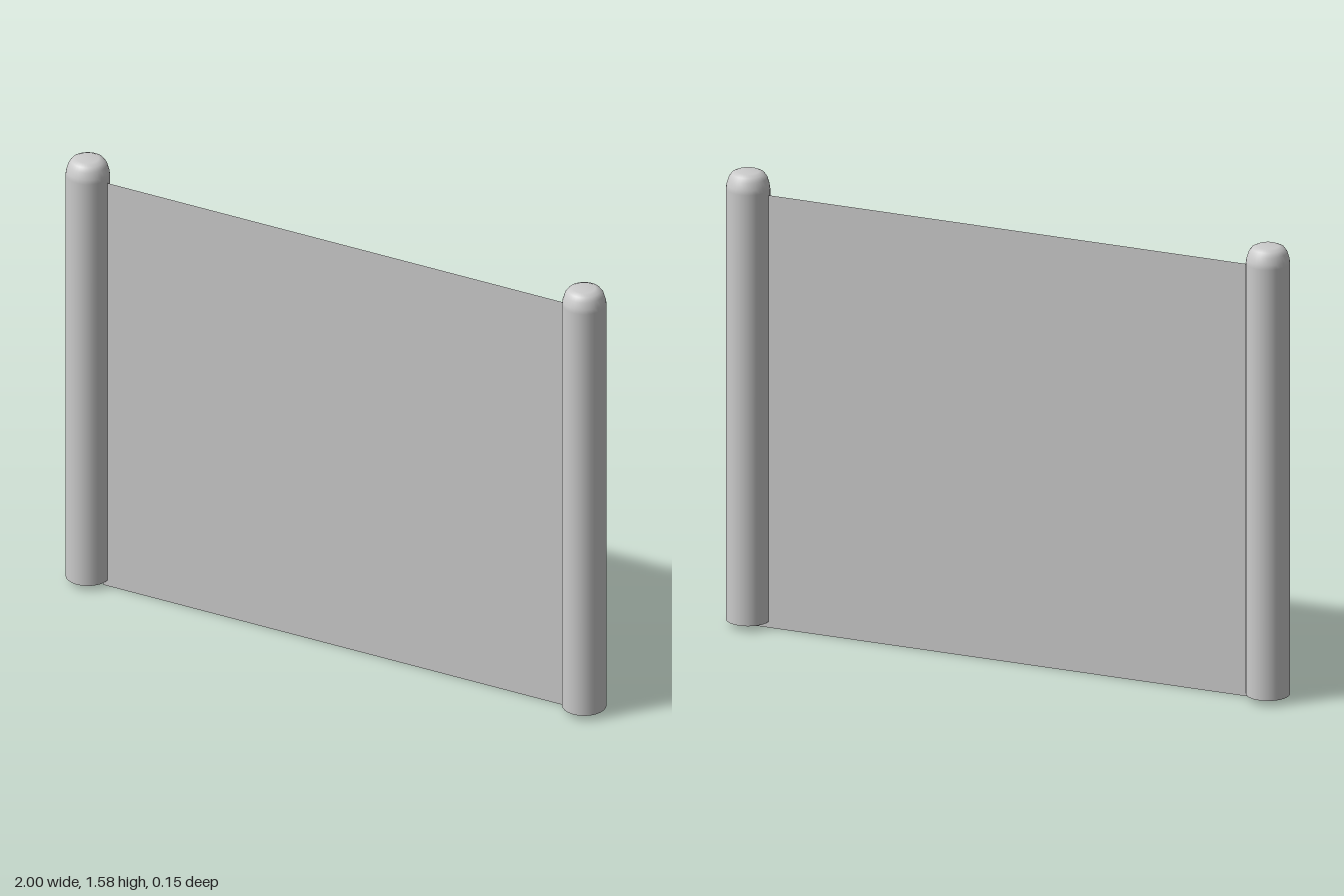
import * as THREE from 'three';

export function createModel() {
  const model = new THREE.Group();
  const material = new THREE.MeshStandardMaterial({ color: 0xcccccc, side: THREE.DoubleSide });

  // Hollow post, open at the bottom, with a rounded cap
  const profile = [
    [0.073, 0.02], [0.073, 1.52], [0.071, 1.535], [0.064, 1.558],
    [0.054, 1.572], [0.037, 1.58], [0, 1.58],
  ].map(([r, y]) => new THREE.Vector2(r, y));
  const postGeometry = new THREE.LatheGeometry(profile, 32);

  for (const [name, side] of [['leftPost', 1], ['rightPost', -1]]) {
    const post = new THREE.Mesh(postGeometry, material);
    post.name = name;
    post.position.x = side * 0.927;
    model.add(post);
  }

  // Thin sheet stretched between the posts, reaching a little into each
  const left = 0.9, right = -0.868, height = 1.505;
  const panel = new THREE.Mesh(new THREE.PlaneGeometry(left - right, height), material);
  panel.name = 'panel';
  panel.position.set((left + right) / 2, height / 2, 0);
  model.add(panel);

  return model;
}
